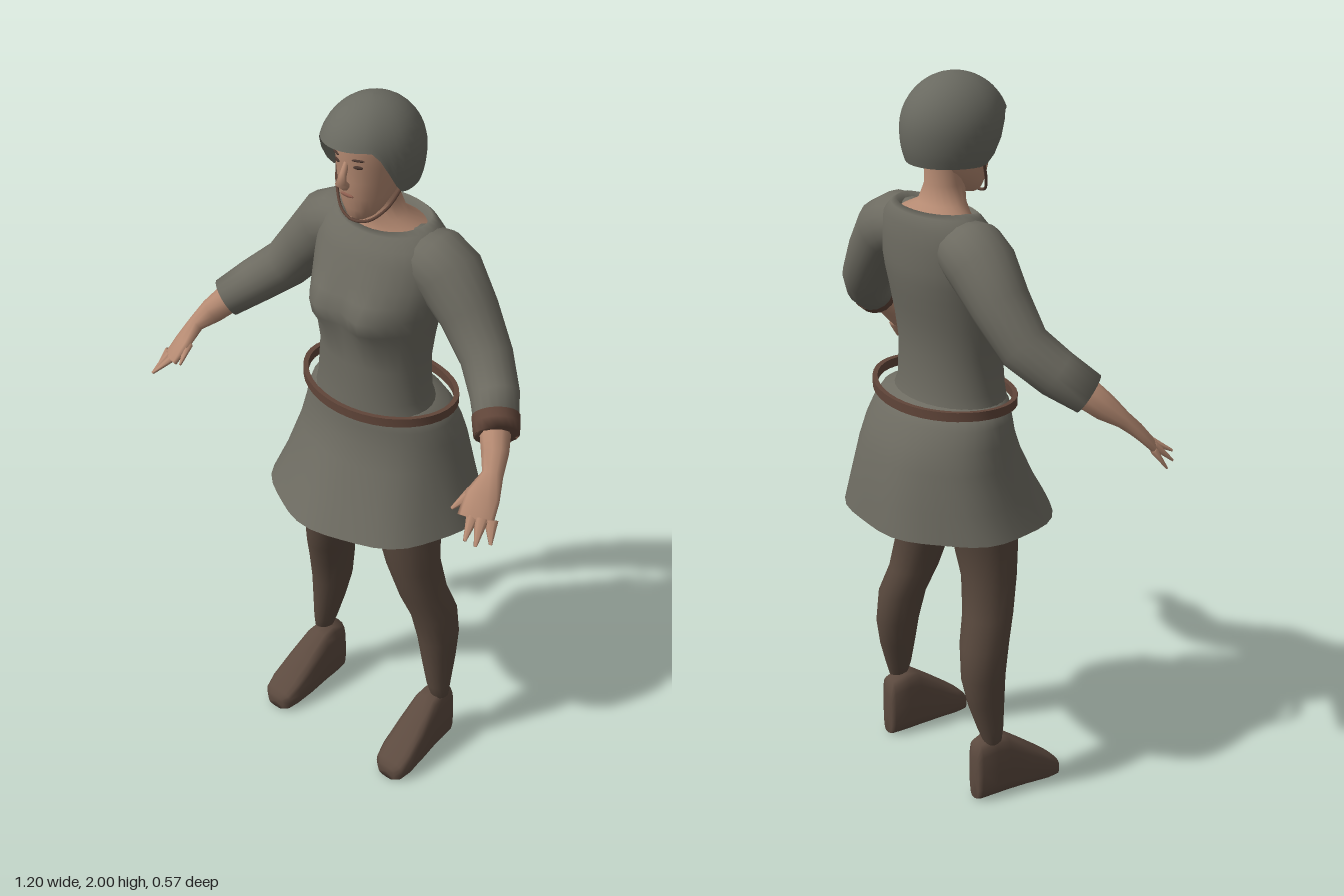
import * as THREE from 'three';
import { toCreasedNormals } from 'three/addons/utils/BufferGeometryUtils.js';

const V = (x, y, z) => new THREE.Vector3(x, y, z);
const mat = (name, color, side = THREE.FrontSide) => {
  const m = new THREE.MeshStandardMaterial({ color, side });
  m.name = name;
  return m;
};

// Skin a list of equal-length closed rings into one smooth surface
function loft(rings, capStart = false, capEnd = false) {
  const n = rings[0].length, pts = rings.flat(), idx = [];
  for (let i = 0; i < rings.length - 1; i++) {
    for (let j = 0; j < n; j++) {
      const a = i * n + j, b = i * n + (j + 1) % n;
      idx.push(a, b, a + n, b, b + n, a + n);
    }
  }
  const cap = (ring, start, flip) => {
    const c = pts.length;
    pts.push(ring.reduce((s, p) => s.add(p), V(0, 0, 0)).divideScalar(n));
    for (let j = 0; j < n; j++) {
      const a = start + j, b = start + (j + 1) % n;
      flip ? idx.push(c, b, a) : idx.push(c, a, b);
    }
  };
  if (capStart) cap(rings[0], 0, true);
  if (capEnd) cap(rings[rings.length - 1], (rings.length - 1) * n, false);
  const g = new THREE.BufferGeometry().setFromPoints(pts);
  g.setIndex(idx);
  g.computeVertexNormals();
  return g;
}

// Horizontal ring with separate front and back depth; angle 0 faces the front
function level([y, rx, zf, zb, cx = 0], n, rule) {
  return Array.from({ length: n }, (_, j) => {
    const a = j / n * Math.PI * 2;
    const p = V(cx + rx * Math.sin(a), y, (zf + zb) / 2 + (zf - zb) / 2 * Math.cos(a));
    if (rule) rule(p, a);
    return p;
  });
}
const body = (rows, n, capStart, capEnd, rule) =>
  loft(rows.map(r => level(r, n, rule)), capStart, capEnd);

// Limb along [x, y, z, radius, second radius], wide axis nearest to ref
function limb(path, n, ref = V(0, 0, 1), capStart = false, capEnd = false) {
  const at = i => V(...path[Math.max(0, Math.min(path.length - 1, i))].slice(0, 3));
  return loft(path.map(([, , , r, r2 = r], i) => {
    const w = at(i + 1).sub(at(i - 1)).normalize();
    const u = ref.clone().addScaledVector(w, -ref.dot(w)).normalize();
    const v = w.clone().cross(u);
    return Array.from({ length: n }, (_, j) => {
      const a = j / n * Math.PI * 2;
      return at(i).addScaledVector(u, r * Math.cos(a)).addScaledVector(v, r2 * Math.sin(a));
    });
  }), capStart, capEnd);
}

// Copy to the other side of the body
function mirrored(geo) {
  const g = geo.clone().scale(-1, 1, 1), ix = g.index.array;
  for (let i = 0; i < ix.length; i += 3) [ix[i], ix[i + 1]] = [ix[i + 1], ix[i]];
  g.computeVertexNormals();
  return g;
}

export function createModel() {
  const model = new THREE.Group();
  model.name = 'figure';
  const cloth = mat('grey cloth', 0x6d6b61, THREE.DoubleSide);
  const helmetGrey = mat('helmet grey', 0x696960, THREE.DoubleSide);
  const hose = mat('dark brown hose', 0x58483d);
  const shoe = mat('brown shoe', 0x5c4a3f);
  const leather = mat('belt leather', 0x604539, THREE.DoubleSide);
  const skin = mat('skin', 0xb58a72);
  const dark = mat('eye dark', 0x4a3730);
  const lip = mat('lip', 0x8e5f50);

  const add = (name, geo, material) => {
    const m = new THREE.Mesh(geo, material);
    m.name = name;
    model.add(m);
    return m;
  };
  const pair = (name, geo, material) => {
    add('left' + name, geo, material);
    add('right' + name, mirrored(geo), material);
  };

  // Tunic top: bust bulge, and a collar that dips at the front
  add('tunicTop', body([
    [1.13, .185, .122, -.15], [1.18, .168, .118, -.135], [1.28, .165, .108, -.13],
    [1.36, .175, .112, -.14], [1.40, .182, .118, -.148], [1.44, .188, .12, -.155],
    [1.48, .195, .112, -.162], [1.52, .2, .1, -.165], [1.58, .2, .08, -.165],
    [1.63, .185, .06, -.16], [1.66, .15, .042, -.15], [1.67, .13, .032, -.14],
    [1.645, .118, .022, -.128]
  ], 32, false, false, (p, a) => {
    const c = Math.max(0, Math.cos(a));
    if (p.y > 1.6) p.y -= .02 * c;
    p.z += .04 * Math.sqrt(c) *
      Math.exp(-(((Math.abs(p.x) - .085) / .06) ** 2) - ((p.y - 1.43) / .06) ** 2);
  }), cloth);

  // Skirt with soft folds growing toward the hem
  add('skirt', body([
    [.82, .305, .25, -.282], [.9, .277, .203, -.268], [1.0, .25, .152, -.245],
    [1.06, .237, .13, -.222], [1.11, .222, .122, -.195], [1.14, .205, .12, -.175],
    [1.155, .17, .115, -.14]
  ], 40, false, false, (p, a) => {
    const k = 1 + .02 * Math.cos(7 * a + .6) * Math.max(0, (1.12 - p.y) / .3);
    p.x *= k;
    p.z *= k;
  }), cloth);

  // Belt standing a little off the waist, slightly raised at the sides
  add('belt', toCreasedNormals(body([
    [1.14, .222, .123, -.183], [1.14, .236, .136, -.196], [1.165, .236, .136, -.196],
    [1.165, .222, .123, -.183], [1.14, .222, .123, -.183]
  ], 40, false, false, p => { p.y += .2 * p.x * p.x - .004; }), .6), leather);

  // Arms
  pair('Sleeve', limb([
    [.09, 1.585, -.055, .075, .07], [.16, 1.575, -.058, .09, .088], [.205, 1.55, -.06, .09],
    [.275, 1.47, -.055, .078], [.35, 1.378, -.038, .068], [.42, 1.318, .012, .063],
    [.475, 1.268, .07, .055], [.47, 1.273, .065, .045]
  ], 18), cloth);
  add('leftCuff', limb([
    [.453, 1.288, .047, .061], [.467, 1.275, .062, .06], [.483, 1.26, .079, .058],
    [.478, 1.265, .073, .045]
  ], 18), leather);

  // Bare forearm running into a flat palm, then pointed fingers and thumb
  const across = V(.88, -.45, -.12);
  pair('Forearm', limb([
    [.45, 1.29, .045, .044], [.5, 1.23, .105, .035], [.525, 1.197, .143, .027, .022],
    [.532, 1.158, .188, .044, .016], [.543, 1.115, .228, .046, .011]
  ], 10, across, true, true), skin);
  [
    ['OuterFinger', [.575, 1.115, .205], [.597, 1.066, .232]],
    ['MiddleFinger', [.557, 1.12, .22], [.578, 1.072, .268]],
    ['InnerFinger', [.533, 1.125, .222], [.557, 1.088, .284]],
    ['Thumb', [.505, 1.16, .195], [.483, 1.13, .248]]
  ].forEach(([name, a, b]) => pair(name,
    limb([[...a, .018, .011], [...b, .004, .003]], 6, across, true, true), skin));

  // Legs
  pair('Leg', body([
    [.16, .01, -.025, -.05], [.18, .026, -.008, -.06], [.22, .032, .002, -.075],
    [.3, .043, .01, -.1], [.38, .054, .016, -.115], [.47, .062, .032, -.11],
    [.55, .065, .06, -.085], [.65, .073, .083, -.072], [.75, .088, .095, -.085],
    [.85, .097, .1, -.105], [.95, .102, .1, -.13], [1.03, .06, .05, -.08]
  ].map((r, i) => [...r, [.228, .228, .222, .213, .205, .195, .175, .155, .138, .122, .11, .1][i]]),
  18, true, true), hose);

  // Shoes: rounded box sections from heel to toe, [z, x, half width, height]
  const soft = t => Math.sign(t) * Math.abs(t) ** .6;
  pair('Shoe', loft([
    [-.084, .213, .02, .13], [-.076, .213, .034, .18], [-.03, .213, .042, .193],
    [.01, .214, .045, .185], [.08, .217, .053, .132], [.14, .22, .055, .085],
    [.175, .221, .048, .057], [.188, .221, .03, .042]
  ].map(([z, x, w, h]) => Array.from({ length: 16 }, (_, j) => {
    const a = j / 16 * Math.PI * 2;
    return V(x + w * soft(Math.cos(a)), h / 2 * (1 + soft(Math.sin(a))), z);
  })), true, true), shoe);

  // Neck spreading to the shoulders inside the collar, and head
  add('neck', body([
    [1.625, .13, .03, -.145], [1.648, .115, .02, -.132], [1.672, .07, .022, -.095],
    [1.72, .052, .024, -.08], [1.8, .05, .03, -.08]
  ], 20), skin);
  add('head', body([
    [1.686, .02, .07, .03], [1.697, .037, .081, 0], [1.72, .055, .086, -.02],
    [1.755, .069, .095, -.06], [1.8, .078, .098, -.08], [1.84, .085, .099, -.09],
    [1.88, .088, .104, -.1], [1.92, .082, .1, -.1], [1.96, .05, .06, -.06]
  ], 24, true, true), skin);
  add('nose', limb([
    [0, 1.852, .095, .007], [0, 1.825, .108, .009], [0, 1.803, .118, .014], [0, 1.788, .1, .012]
  ], 8, V(1, 0, 0), true, true), skin);

  // Small face details
  const spot = (name, x, y, z, sx, sy, material) => {
    const m = add(name, new THREE.SphereGeometry(1, 12, 8).scale(sx, sy, .004), material);
    m.position.set(x, y, z);
    m.rotation.y = x * 12;
  };
  for (const [side, s] of [['left', 1], ['right', -1]]) {
    spot(side + 'Eye', s * .034, 1.846, .0915, .013, .005, dark);
    spot(side + 'Brow', s * .036, 1.866, .094, .017, .003, dark);
  }
  spot('mouth', 0, 1.762, .095, .022, .005, lip);

  // Helmet dome: rim high over the face, low over ears and nape
  const rows = 14, dome = [];
  for (let i = rows; i >= 0; i--) {
    dome.push(Array.from({ length: 40 }, (_, j) => {
      const a = j / 40 * Math.PI * 2, fromFront = Math.min(a, Math.PI * 2 - a);
      const reach = THREE.MathUtils.lerp(1.25, 2.2, THREE.MathUtils.smoothstep(fromFront, .75, 1.5));
      const th = Math.max(.001, i / rows * reach);
      const r = th > Math.PI / 2 ? Math.max(Math.sin(th), .45 + .55 * Math.sin(th)) : Math.sin(th);
      const peak = 1 + .05 * Math.max(0, Math.cos(a)) * i / rows;
      return V(.127 * r * Math.sin(a), 1.86 + .14 * Math.cos(th), .143 * r * Math.cos(a) * peak);
    }));
  }
  add('helmet', loft(dome), helmetGrey);

  // Chin strap
  const strap = new THREE.CatmullRomCurve3([
    V(-.112, 1.8, .01), V(-.085, 1.735, .04), V(-.045, 1.695, .066), V(0, 1.685, .075),
    V(.045, 1.695, .066), V(.085, 1.735, .04), V(.112, 1.8, .01)
  ]);
  add('chinStrap', new THREE.TubeGeometry(strap, 32, .004, 6), leather);

  return model;
}
